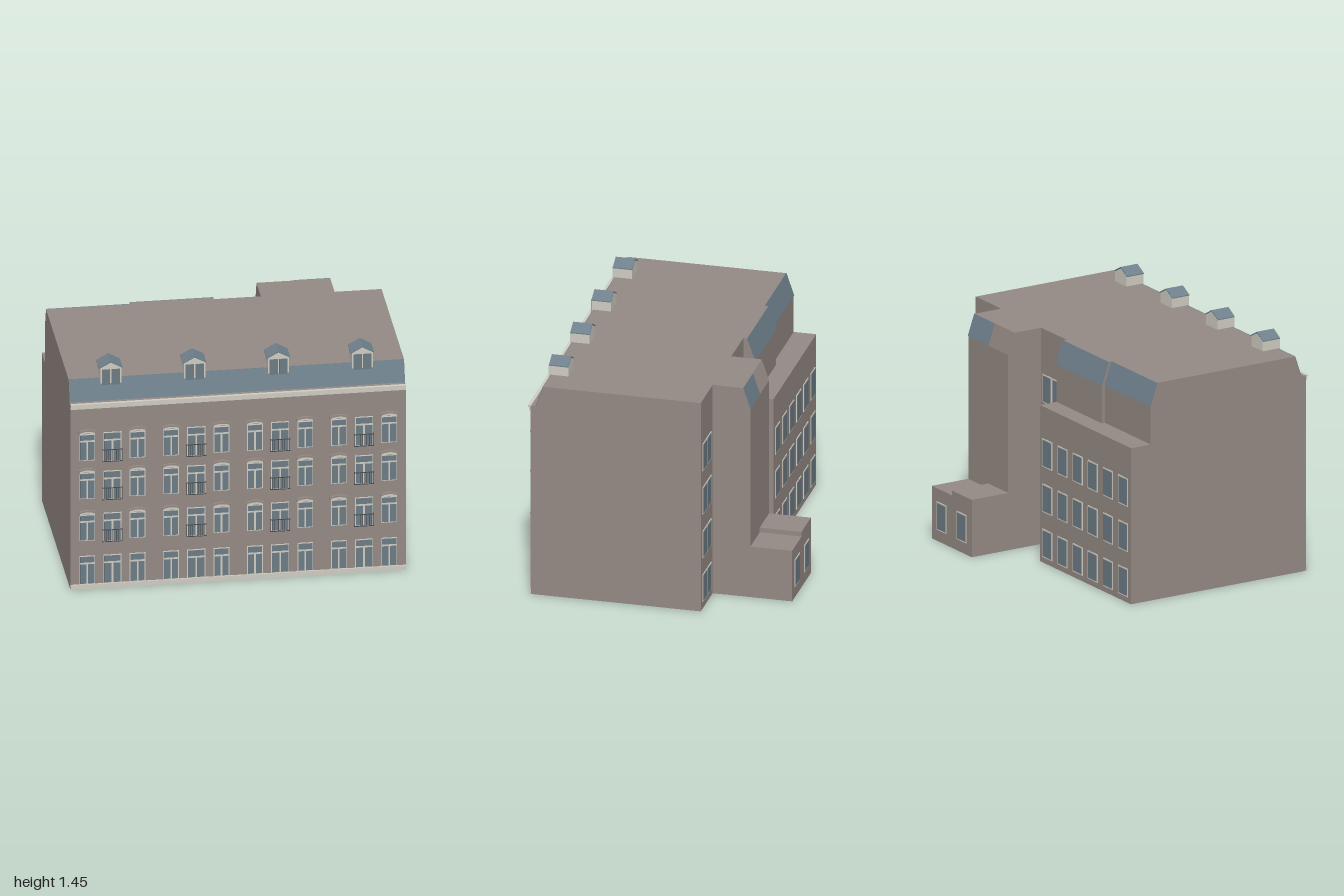
import * as THREE from 'three';

const mat = (name, color) => {
  const m = new THREE.MeshStandardMaterial({ color });
  m.name = name;
  return m;
};

export function createModel() {
  const wall = mat('taupe wall', 0x958a84);
  wall.side = THREE.DoubleSide;
  const slate = mat('slate', 0x6f808c);
  const glass = mat('window glass', 0x6c7b85);
  const trim = mat('cream trim', 0xcfccc2);
  const iron = mat('dark iron', 0x45484a);

  const model = new THREE.Group();
  model.name = 'apartmentBuilding';

  const add = (parent, name, geometry, material) => {
    const mesh = new THREE.Mesh(geometry, material);
    mesh.name = name;
    parent.add(mesh);
    return mesh;
  };
  // Box given by its limits on each axis
  const box = (parent, name, material, x0, x1, y0, y1, z0, z1) => {
    const g = new THREE.BoxGeometry(x1 - x0, y1 - y0, z1 - z0);
    g.translate((x0 + x1) / 2, (y0 + y1) / 2, (z0 + z1) / 2);
    return add(parent, name, g, material);
  };
  const shapeOf = pts => new THREE.Shape(pts.map(p => new THREE.Vector2(p[0], p[1])));
  // Prism from a side profile of [z, y] points, running from x0 to x1
  const prism = (name, material, pts, x0, x1) => {
    const g = new THREE.ExtrudeGeometry(shapeOf(pts), { depth: x1 - x0, bevelEnabled: false });
    g.rotateY(-Math.PI / 2).translate(x1, 0, 0);
    return add(model, name, g, material);
  };
  // Thin slate sheet on a sloped roof face, from its lower to its upper edge
  const roofSheet = (name, zLow, yLow, zHigh, yHigh, x0, x1) => {
    const d = Math.sign(zLow - zHigh) * 0.004;
    prism(name, slate, [[zLow, yLow], [zLow + d, yLow + 0.001], [zHigh + d, yHigh + 0.001], [zHigh, yHigh]], x0, x1);
  };

  // Main block with its steep front roof
  const FRONT = 0.755, BACK = -0.285, TOP = 1.34;
  prism('mainBlock', wall, [[FRONT, 0], [FRONT, 1.21], [0.72, 1.21], [0.675, TOP], [BACK, TOP], [BACK, 0]], -1, 1);
  roofSheet('frontRoof', 0.72, 1.21, 0.675, TOP, -1, 1);
  box(model, 'corniceLower', trim, -1, 1, 1.18, 1.2, FRONT - 0.005, 0.763);
  box(model, 'corniceUpper', trim, -1, 1, 1.2, 1.213, FRONT - 0.005, 0.77);
  box(model, 'plinth', trim, -1, 1, 0, 0.03, FRONT - 0.005, 0.764);

  // Low rear wing with two stepped mansards above it
  box(model, 'rearWing', wall, -1, 0, 0, 0.967, -0.47, BACK + 0.005);
  for (const [x0, x1, z] of [[-1, -0.5, -0.333], [-0.5, 0, -0.355]]) {
    prism('rearUpperStorey', wall, [[-0.28, 0.9], [-0.28, TOP], [z + 0.048, TOP], [z, 1.2], [z, 0.9]], x0, x1);
    roofSheet('rearRoof', z, 1.2, z + 0.048, TOP, x0, x1);
  }

  // Rear tower: one closed half, one half open at the slope
  const towerProfile = [[-0.28, 0], [-0.28, TOP], [-0.47, TOP], [-0.515, 1.21], [-0.515, 0]];
  prism('towerHalf', wall, towerProfile, 0.5, 0.72);
  roofSheet('towerRoof', -0.515, 1.21, -0.47, TOP, 0.5, 0.72);
  const side = new THREE.ShapeGeometry(shapeOf(towerProfile));
  side.rotateY(-Math.PI / 2).translate(0.28, 0, 0);
  add(model, 'towerSideWall', side, wall);
  const backWall = new THREE.PlaneGeometry(0.22, 1.21);
  backWall.rotateY(Math.PI).translate(0.39, 0.605, -0.515);
  add(model, 'towerBackWall', backWall, wall);
  const towerTop = new THREE.PlaneGeometry(0.22, 0.19);
  towerTop.rotateX(-Math.PI / 2).translate(0.39, TOP, -0.375);
  add(model, 'towerTop', towerTop, wall);

  // Rear annex in two heights
  box(model, 'annexHigh', wall, 0.28, 0.5, 0, 0.355, -0.77, BACK);
  box(model, 'annexLow', wall, 0.5, 0.72, 0, 0.325, -0.77, -0.51);

  // Plain rear window: cream frame with one pane
  const rearWindow = (x, top, z, w = 0.107) => {
    const g = new THREE.Group();
    g.name = 'rearWindow';
    model.add(g);
    box(g, 'frame', trim, x - w / 2, x + w / 2, top - 0.175, top, z - 0.004, z);
    box(g, 'pane', glass, x - w / 2 + 0.008, x + w / 2 - 0.008, top - 0.167, top - 0.008, z - 0.006, z);
  };
  const rearTops = [0.22, 0.5, 0.78, 1.06];
  for (const top of rearTops) {
    for (const x of [0.105, 0.21, 0.807, 0.912]) rearWindow(x, top, BACK, 0.1);
    if (top < 0.9) for (let i = 0; i < 6; i++) rearWindow(-0.083 - i / 6, top - 0.01, -0.47);
  }
  for (const x of [0.39, 0.61]) rearWindow(x, 0.245, -0.77);

  // Front window: two tall panes under a wide transom pane
  const frontWindow = (x, y0, y1, w) => {
    const g = new THREE.Group();
    g.name = 'frontWindow';
    model.add(g);
    const e = 0.005, split = y0 + (y1 - y0) * 0.74, z = FRONT;
    box(g, 'frame', trim, x - w / 2, x + w / 2, y0, y1, z, z + 0.004);
    for (const s of [-1, 1]) {
      const a = x + s * 0.005, b = x + s * (w / 2 - e);
      box(g, 'pane', glass, Math.min(a, b), Math.max(a, b), y0 + e, split - 0.006, z, z + 0.006);
    }
    box(g, 'transomPane', glass, x - w / 2 + e, x + w / 2 - e, split + 0.006, y1 - e, z, z + 0.006);
    return g;
  };
  // Curved band between two arcs of the same rise
  const archBand = (g, name, material, x, y, half, rise, thick, depth) => {
    const s = new THREE.Shape();
    s.moveTo(x - half, y);
    s.quadraticCurveTo(x, y + 2 * rise, x + half, y);
    s.lineTo(x + half, y + thick);
    s.quadraticCurveTo(x, y + thick + 2 * rise, x - half, y + thick);
    const geo = new THREE.ExtrudeGeometry(s, { depth, bevelEnabled: false, curveSegments: 8 });
    geo.translate(0, 0, FRONT);
    add(g, name, geo, material);
  };
  // Iron railing in front of the tall middle windows
  const railing = (x, y) => {
    const g = new THREE.Group();
    g.name = 'balconyRailing';
    model.add(g);
    const w = 0.057, z = 0.768;
    for (const h of [0, 0.076]) {
      box(g, 'rail', iron, x - w, x + w, y + h, y + h + 0.004, z - 0.004, z);
      for (const s of [-1, 1]) box(g, 'bracket', iron, x + s * w - 0.002, x + s * w + 0.002, y + h, y + h + 0.004, FRONT, z);
    }
    for (let i = 0; i <= 10; i++) {
      const bx = x - w + i * w / 5;
      box(g, 'bar', iron, bx - 0.001, bx + 0.001, y, y + 0.08, z - 0.003, z - 0.001);
    }
  };

  // Four bays of three windows on four floors
  const floors = [[0.03, 0.215], [0.315, 0.49], [0.59, 0.765], [0.84, 1.018]];
  for (const bay of [-0.75, -0.25, 0.25, 0.75]) {
    floors.forEach(([y0, y1], floor) => {
      frontWindow(bay, floor ? y0 - 0.012 : y0, y1, 0.108);
      if (floor) railing(bay, y0 - 0.012);
      for (const s of [-1, 1]) {
        const x = bay + s * 0.15;
        const g = frontWindow(x, y0, floor ? y1 - 0.006 : y1, 0.094);
        if (!floor) continue;
        archBand(g, 'archTrim', trim, x, y1 - 0.012, 0.045, 0.013, 0.013, 0.007);
        archBand(g, 'archHood', wall, x, y1 + 0.002, 0.054, 0.013, 0.011, 0.013);
      }
    });

    // Gabled dormer above each bay
    const d = new THREE.Group();
    d.name = 'dormer';
    model.add(d);
    const gable = new THREE.ExtrudeGeometry(
      shapeOf([[-0.063, 1.27], [0.063, 1.27], [0.063, 1.402], [0, 1.436], [-0.063, 1.402]]),
      { depth: 0.12, bevelEnabled: false });
    gable.translate(bay, 0, 0.571);
    add(d, 'dormerBody', gable, trim);
    const roof = new THREE.ExtrudeGeometry(
      shapeOf([[-0.07, 1.4], [0, 1.438], [0.07, 1.4], [0.07, 1.406], [0, 1.445], [-0.07, 1.406]]),
      { depth: 0.118, bevelEnabled: false });
    roof.translate(bay, 0, 0.57);
    add(d, 'dormerRoof', roof, slate);
    for (const s of [-1, 1]) {
      const x = bay + s * 0.029;
      box(d, 'dormerPane', glass, x - 0.025, x + 0.025, 1.275, 1.398, 0.69, 0.694);
    }
  }

  return model;
}
